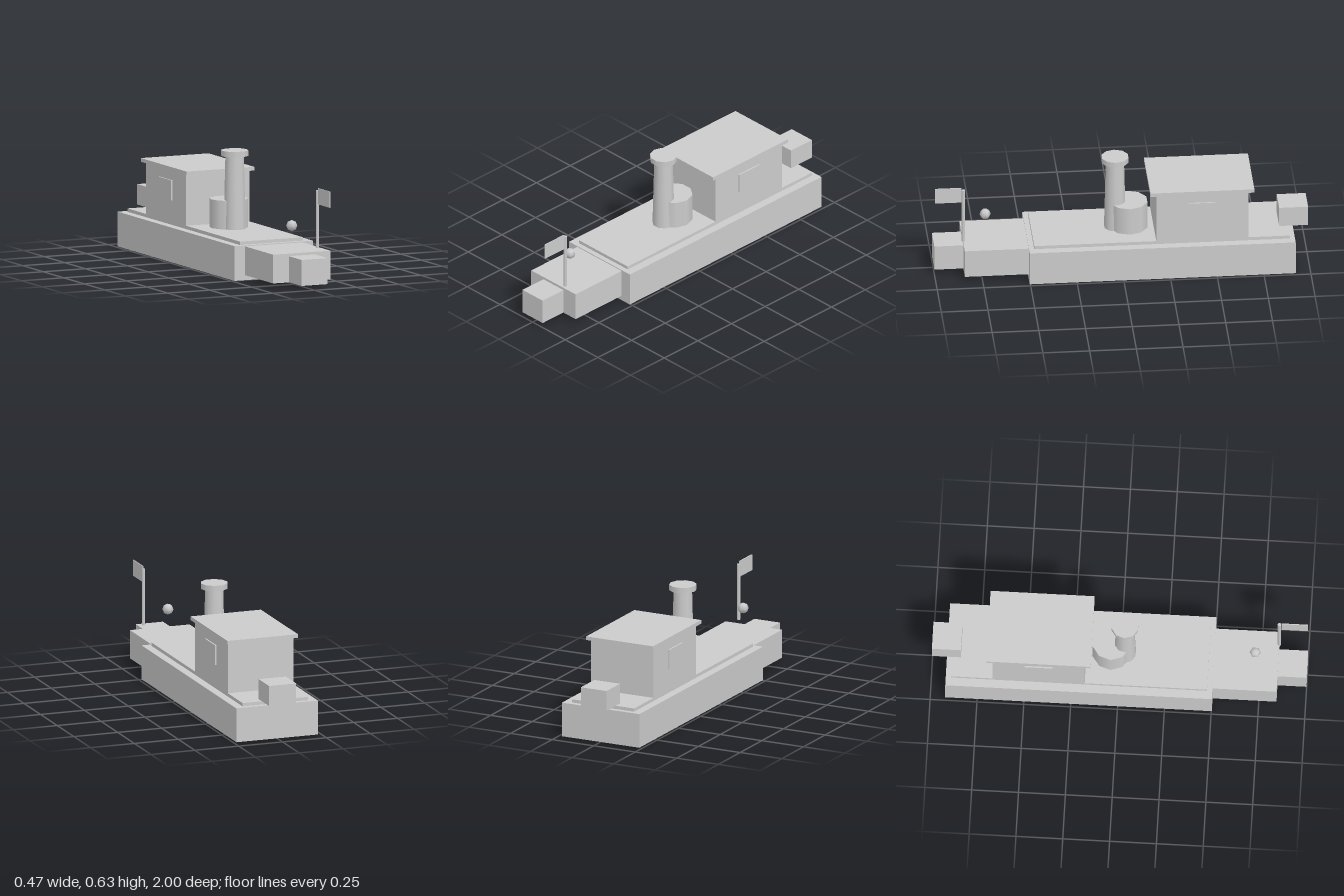
import * as THREE from 'three';

const material = new THREE.MeshStandardMaterial({ color: 0xcccccc });

export function createModel() {
  const boat = new THREE.Group();
  boat.name = 'steamBoat';

  const add = (name, geometry) => {
    const mesh = new THREE.Mesh(geometry, material);
    mesh.name = name;
    boat.add(mesh);
    return mesh;
  };

  // Box given by its x, y and z ranges
  const box = (name, [x0, x1], [y0, y1], [z0, z1]) =>
    add(name, new THREE.BoxGeometry(x1 - x0, y1 - y0, z1 - z0))
      .position.set((x0 + x1) / 2, (y0 + y1) / 2, (z0 + z1) / 2);

  // Upright cylinder with a corner pointing along x
  const column = (name, rTop, rBottom, [y0, y1], x, z, sides) => {
    const geometry = new THREE.CylinderGeometry(rTop, rBottom, y1 - y0, sides);
    geometry.rotateY(Math.PI / 2);
    add(name, geometry).position.set(x, (y0 + y1) / 2, z);
  };

  // Hull, deck and stepped bow
  box('hull', [-0.233, 0.233], [0, 0.187], [-0.92, 0.503]);
  box('deck', [-0.187, 0.187], [0.187, 0.205], [-0.893, 0.475]);
  box('bow', [-0.17, 0.17], [0.027, 0.182], [0.48, 0.845]);
  box('bowTip', [-0.077, 0.077], [0.028, 0.168], [0.84, 1]);
  box('sternBlock', [-0.077, 0.077], [0.205, 0.315], [-1, -0.845]);

  // Cabin with roof and a window on each side
  box('cabin', [-0.187, 0.187], [0.205, 0.482], [-0.67, -0.178]);
  box('roof', [-0.201, 0.201], [0.482, 0.502], [-0.702, -0.146]);
  box('leftWindow', [0.18, 0.195], [0.32, 0.428], [-0.5, -0.347]);
  box('rightWindow', [-0.195, -0.18], [0.32, 0.428], [-0.5, -0.347]);

  // Boiler and funnel
  column('boiler', 0.104, 0.104, [0.205, 0.359], 0, -0.045, 10);
  column('funnel', 0.05, 0.06, [0.205, 0.598], 0, 0.027, 10);
  column('funnelCap', 0.074, 0.074, [0.598, 0.628], 0, 0.027, 10);

  // Flagpole and flag
  column('flagpole', 0.0095, 0.0095, [0.203, 0.512], 0.092, 0.846, 8);
  box('flag', [0.0895, 0.0945], [0.438, 0.525], [0.856, 0.998]);

  // Bow lamp
  const lamp = new THREE.SphereGeometry(0.03, 6, 4);
  lamp.rotateY(Math.PI / 2);
  add('lamp', lamp).position.set(0, 0.312, 0.722);

  return boat;
}
